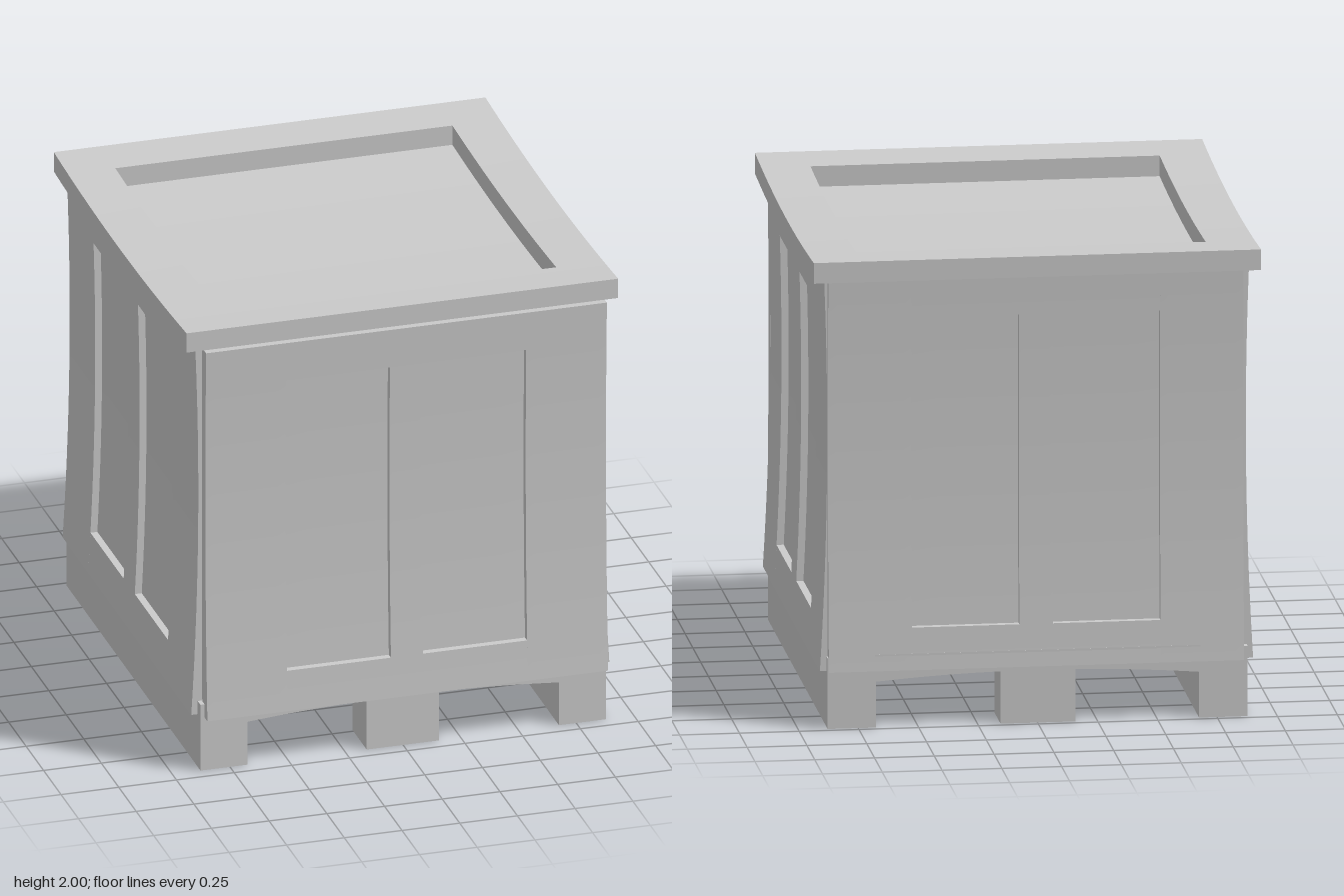
import * as THREE from 'three';

const material = new THREE.MeshStandardMaterial({ color: 0xcccccc });

// Sagging lid: top height at depth z, and its underside
const lidTop = z => 1.963 + 0.034 * (z + 0.1) ** 2;
const lidBottom = z => lidTop(z) - 0.088;

// Box given by its limits, with vertices moved by an optional rule
function board(name, [x0, x1], [y0, y1], [z0, z1], segments = [1, 1, 1], rule, turn = 0) {
  const geometry = new THREE.BoxGeometry(x1 - x0, y1 - y0, z1 - z0, ...segments);
  geometry.translate((x0 + x1) / 2, (y0 + y1) / 2, (z0 + z1) / 2);
  if (rule) {
    const p = geometry.attributes.position;
    const v = new THREE.Vector3();
    for (let i = 0; i < p.count; i++) {
      rule(v.fromBufferAttribute(p, i));
      p.setXYZ(i, v.x, v.y, v.z);
    }
    geometry.computeVertexNormals();
  }
  geometry.rotateY(turn);
  const mesh = new THREE.Mesh(geometry, material);
  mesh.name = name;
  return mesh;
}

// Framed wall panel, bowed inwards at mid height and trimmed to the lid's curve
function wallPanel(name, turn, face, centre, half, opening, stile) {
  const group = new THREE.Group();
  group.name = name;
  const bottom = 0.24, top = 1.9, sill = 0.42, head = 1.74;
  const bow = v => {
    const worldZ = v.z * Math.cos(turn) - v.x * Math.sin(turn);
    if (v.y > top - 0.001) v.y = lidBottom(worldZ);
    v.z += 0.03 * (v.y - 1.25) ** 2;
  };
  const add = (part, u0, u1, y0, y1, sink = 0) => group.add(board(part,
    [centre + u0, centre + u1], [y0, y1], [face - 0.07, face - sink], [10, 14, 1], bow, turn));
  add('leftStile', -half, -opening, bottom, top);
  add('rightStile', opening, half, bottom, top);
  add('bottomRail', -opening, opening, bottom, sill);
  add('topRail', -opening, opening, head, top);
  add('centreStile', -stile, stile, sill, head);
  add('recessedPanel', -opening, opening, sill, head, 0.03);
  return group;
}

// Lid frame around a sunken floor
function lid() {
  const group = new THREE.Group();
  group.name = 'lid';
  const sag = v => { v.y += lidTop(v.z); };
  const add = (part, x, y, z) => group.add(board(part, x, y, z, [1, 1, 20], sag));
  const thick = [-0.088, 0];
  add('frontLidBoard', [-0.935, 0.935], thick, [0.72, 0.93]);
  add('backLidBoard', [-0.935, 0.935], thick, [-0.97, -0.765]);
  add('leftLidBoard', [0.73, 0.935], thick, [-0.765, 0.72]);
  add('rightLidBoard', [-0.935, -0.73], thick, [-0.765, 0.72]);
  add('lidFloor', [-0.82, 0.82], [-0.13, -0.088], [-0.9, 0.88]);
  return group;
}

// Pallet: side runners, arched cross beams and middle feet
function base() {
  const group = new THREE.Group();
  group.name = 'base';
  for (const s of [-1, 1]) {
    const x = s < 0 ? [-0.878, -0.675] : [0.675, 0.878];
    group.add(board('runner', x, [0, 0.3], [-0.975, 0.94]));
  }
  const arch = v => { if (v.y < 0.25) v.y = 0.225 - 0.065 * v.x ** 2; };
  for (const z of [[0.74, 0.94], [-0.975, -0.775]]) {
    group.add(board('crossBeam', [-0.68, 0.68], [0.2, 0.31], z, [20, 1, 1], arch));
    group.add(board('middleFoot', [-0.158, 0.155], [0, 0.25], z));
  }
  return group;
}

export function createModel() {
  const model = new THREE.Group();
  model.name = 'crate';
  model.add(
    base(),
    board('body', [-0.81, 0.81], [0.3, 1.83], [-0.91, 0.88]),
    wallPanel('frontPanel', 0, 0.95, 0.008, 0.868, 0.52, 0.07),
    wallPanel('backPanel', Math.PI, 0.948, -0.005, 0.868, 0.52, 0.07),
    wallPanel('leftPanel', Math.PI / 2, 0.875, 0.02, 0.92, 0.555, 0.08),
    wallPanel('rightPanel', -Math.PI / 2, 0.875, -0.02, 0.92, 0.555, 0.08),
    lid()
  );
  return model;
}
